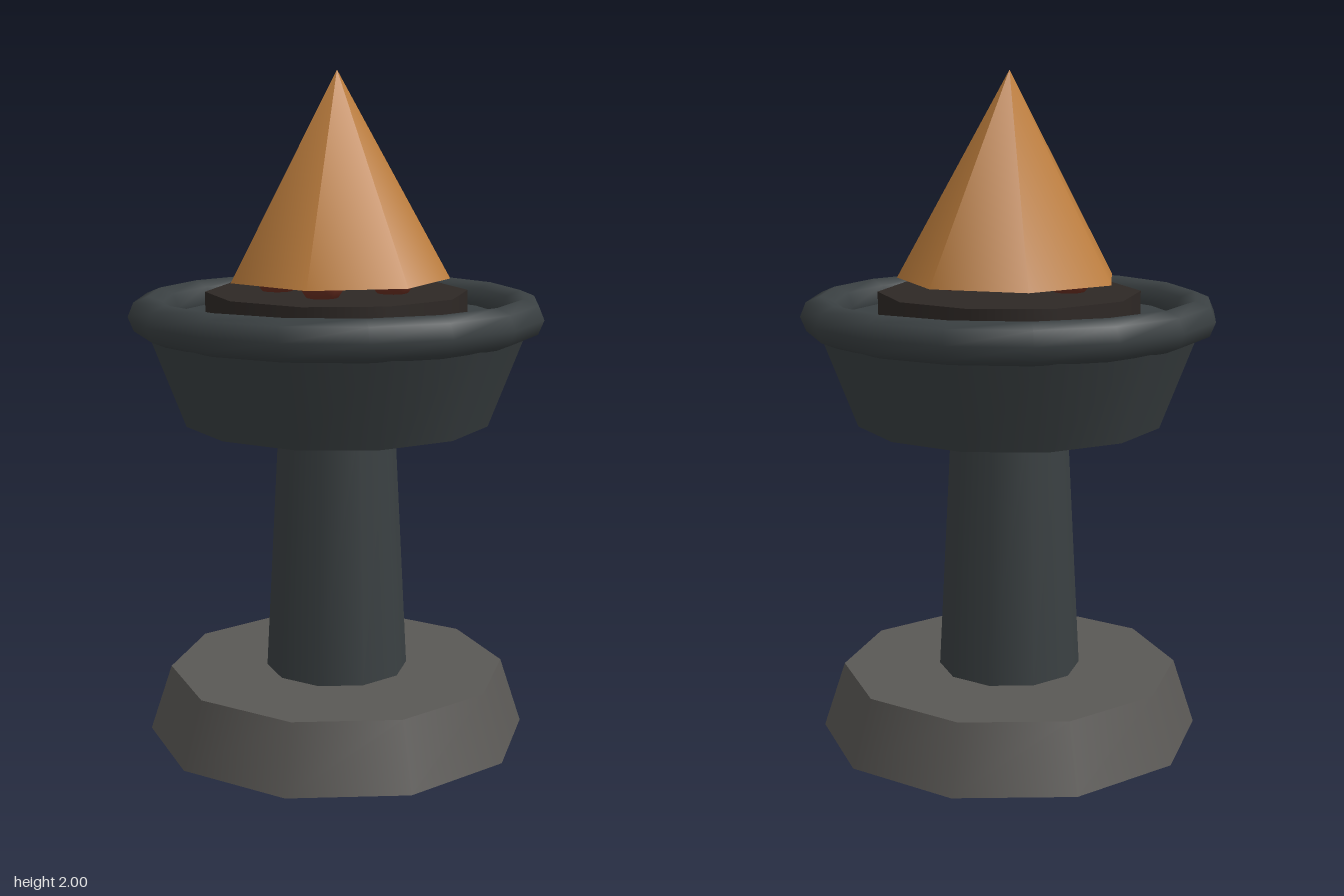
import * as THREE from 'three';

export function createModel() {
  const group = new THREE.Group();
  const mat = (color) => new THREE.MeshStandardMaterial({ color });
  const stone = mat(0x5a5855), iron = mat(0x3a4042), ash = mat(0x2e2825);
  const ember = mat(0x6e3022), fire = mat(0xbb7c3c);

  const add = (name, geometry, material, x, y, z) => {
    const mesh = new THREE.Mesh(geometry, material);
    mesh.name = name;
    mesh.position.set(x, y, z);
    group.add(mesh);
    return mesh;
  };
  // Tapered prism standing between two heights
  const taper = (name, rTop, rBottom, y0, y1, sides, material) =>
    add(name, new THREE.CylinderGeometry(rTop, rBottom, y1 - y0, sides), material, 0, (y0 + y1) / 2, 0);

  // Foot, column and bowl
  taper('base', 0.51, 0.575, 0, 0.2, 10, stone);
  taper('column', 0.175, 0.215, 0.2, 0.97, 10, iron);
  taper('bowl', 0.577, 0.458, 0.97, 1.28, 12, iron);

  // Rounded rim
  const rim = new THREE.TorusGeometry(0.558, 0.06, 8, 16);
  rim.rotateX(Math.PI / 2);
  add('rim', rim, iron, 0, 1.29, 0);

  // Ash bed with embers half sunk into it
  taper('ashBed', 0.39, 0.39, 1.25, 1.357, 10, ash);
  const coal = new THREE.SphereGeometry(0.07, 10, 8);
  for (const [x, z] of [[-0.172, 0.04], [0, 0.17], [0.17, 0.01]]) add('ember', coal, ember, x, 1.41, z);

  // Flame
  add('flame', new THREE.ConeGeometry(0.335, 0.605, 7), fire, 0, 1.6975, 0);

  return group;
}
